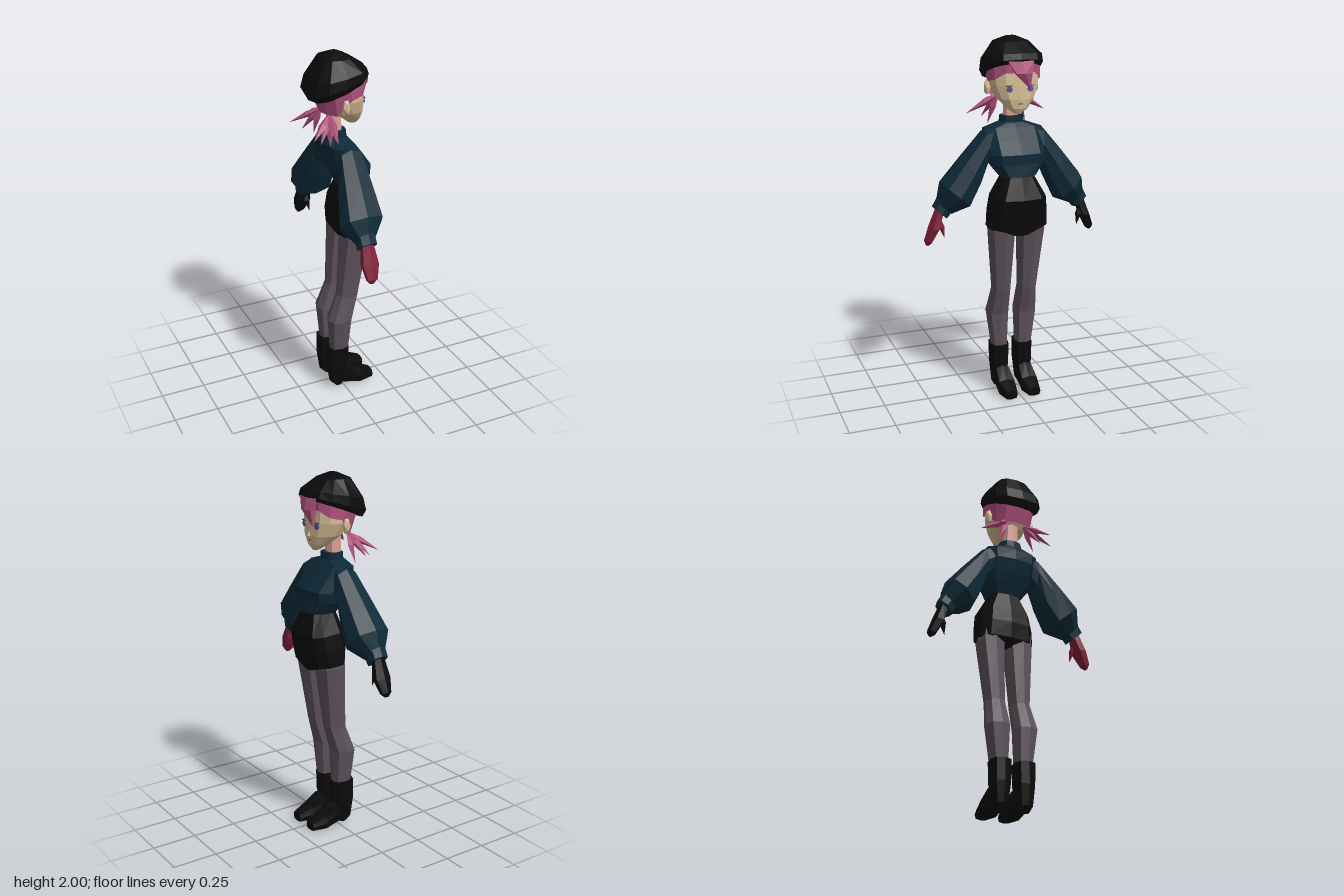
import * as THREE from 'three';

const mat = (name, color, side = THREE.FrontSide) => {
  const m = new THREE.MeshStandardMaterial({ color, side, flatShading: true });
  m.name = name;
  return m;
};

// Cross-section spanning from p to q, with half-width vector w; pow < 1 squares it off
function ring(p, q, w, n = 8, pow = 0.8) {
  const a = new THREE.Vector3(...p), b = new THREE.Vector3(...q), side = new THREE.Vector3(...w);
  const c = a.clone().add(b).multiplyScalar(0.5), u = b.clone().sub(c);
  const bend = (t) => Math.sign(t) * Math.pow(Math.abs(t) < 1e-6 ? 0 : Math.abs(t), pow);
  return Array.from({ length: n }, (_, i) => {
    const t = (i / n) * Math.PI * 2;
    return c.clone().addScaledVector(u, bend(Math.cos(t))).addScaledVector(side, bend(Math.sin(t)));
  });
}

// Skin over a list of cross-sections, with faces always turned outward
function loft(rings, capped = true) {
  const n = rings[0].length, tris = [];
  for (let r = 0; r < rings.length - 1; r++) {
    for (let i = 0; i < n; i++) {
      const j = (i + 1) % n, A = rings[r], B = rings[r + 1];
      tris.push([A[i], A[j], B[j]], [A[i], B[j], B[i]]);
    }
  }
  if (capped) {
    const F = rings[0], L = rings[rings.length - 1];
    for (let i = 1; i < n - 1; i++) tris.push([F[0], F[i + 1], F[i]], [L[0], L[i], L[i + 1]]);
  }
  const mid = rings[0][0], v = new THREE.Vector3();
  let volume = 0;
  for (const [a, b, c] of tris) {
    volume += v.copy(b).sub(mid).cross(c.clone().sub(mid)).dot(a.clone().sub(mid));
  }
  const g = new THREE.BufferGeometry().setFromPoints(
    tris.flatMap(([a, b, c]) => (volume < 0 ? [a, c, b] : [a, b, c])));
  g.computeVertexNormals();
  return g;
}

// Upright form from rows of [back x, back y, front x, front y, half width]
const bodyRings = (rows, n, pow, z = 0) =>
  rows.map(([bx, by, fx, fy, w]) => ring([bx, by, z], [fx, fy, z], [0, 0, w], n, pow));

// Four-sided pointed lock
function spike(base, tip, width) {
  const a = new THREE.Vector3(...base), b = new THREE.Vector3(...tip);
  const d = b.clone().sub(a).normalize();
  const u = new THREE.Vector3(0, 1, 0).cross(d).normalize(), v = d.clone().cross(u);
  return loft([[0, 0.012], [0.4, width], [1, 0.0005]].map(([t, r]) => {
    const c = a.clone().lerp(b, t);
    return ring(c.clone().addScaledVector(u, -r).toArray(), c.clone().addScaledVector(u, r).toArray(),
      v.clone().multiplyScalar(r * 0.7).toArray(), 4);
  }));
}

export function createModel() {
  const skin = mat('face skin', 0xd6be96), neckSkin = mat('neck skin', 0xd9a394);
  const pink = mat('pink hair', 0xb0507c, THREE.DoubleSide), black = mat('black cloth', 0x0b0b0b);
  const teal = mat('teal knit', 0x0d2a38), grey = mat('grey tights', 0x5c525a);
  const red = mat('red glove', 0x7e1f38), blue = mat('blue eyes', 0x5652a4);
  const brown = mat('mouth brown', 0x6b4a3c);

  const model = new THREE.Group();
  const add = (name, geometry, material) => {
    const m = new THREE.Mesh(geometry, material);
    m.name = name;
    model.add(m);
    return m;
  };

  // Head and neck
  add('head', loft(bodyRings([
    [0.06, 1.605, 0.105, 1.6, 0.018], [0.015, 1.64, 0.122, 1.63, 0.06],
    [-0.05, 1.68, 0.13, 1.68, 0.1], [-0.1, 1.75, 0.128, 1.75, 0.13],
    [-0.11, 1.82, 0.125, 1.82, 0.133], [-0.09, 1.89, 0.09, 1.89, 0.1]], 12, 0.8)), skin);
  add('neck', loft(bodyRings([
    [-0.06, 1.55, 0.018, 1.55, 0.045], [-0.06, 1.71, 0.018, 1.7, 0.042]], 8, 0.9)), neckSkin);
  const nose = add('nose', new THREE.ConeGeometry(0.012, 0.03, 4), skin);
  nose.position.set(0.132, 1.693, 0);
  add('mouth', new THREE.BoxGeometry(0.008, 0.005, 0.022), brown).position.set(0.125, 1.658, 0);

  // Hair shell, its lower edge stepping from forehead to nape
  const hairTop = bodyRings([
    [-0.13, 1.92, 0.11, 1.92, 0.12], [-0.15, 1.83, 0.143, 1.87, 0.146]], 12, 0.85);
  const hem = ring([-0.1, 1.75, 0], [0.138, 1.75, 0], [0, 0, 0.142], 12, 0.85);
  hem.forEach((p) => {
    const c = (p.x - 0.019) / 0.119;
    p.y = c > 0.8 ? 1.82 : c > 0.3 ? 1.785 : c > -0.2 ? 1.77 : 1.685;
    if (c < -0.2) p.z *= 0.85;
  });
  add('hair', loft([...hairTop, hem], false), pink);
  add('fringe', loft([
    ring([0.1, 1.89, 0], [0.15, 1.88, 0], [0, 0, 0.08], 6),
    ring([0.11, 1.82, -0.012], [0.172, 1.82, -0.012], [0, 0, 0.05], 6),
    ring([0.135, 1.74, -0.048], [0.145, 1.74, -0.048], [0, 0, 0.004], 6)]), pink);

  // Soft cap, tilted down at the back
  add('beret', loft(bodyRings([
    [-0.165, 1.758, 0.142, 1.87, 0.148], [-0.185, 1.795, 0.15, 1.89, 0.16],
    [-0.165, 1.865, 0.138, 1.92, 0.156], [-0.1, 1.973, 0.06, 1.972, 0.095],
    [-0.04, 2, 0, 2, 0.025]], 12, 0.75)), black);

  // Sweater with collar, and shorts
  add('collar', loft(bodyRings([
    [-0.068, 1.53, 0.042, 1.53, 0.068], [-0.066, 1.58, 0.04, 1.58, 0.064]], 10, 0.85)), teal);
  add('sweater', loft(bodyRings([
    [-0.065, 1.548, 0.04, 1.545, 0.068], [-0.088, 1.51, 0.06, 1.522, 0.16],
    [-0.09, 1.45, 0.11, 1.46, 0.16], [-0.065, 1.38, 0.16, 1.39, 0.158],
    [-0.045, 1.335, 0.158, 1.335, 0.15], [-0.01, 1.265, 0.167, 1.27, 0.097]], 10, 0.7)), teal);
  add('shorts', loft(bodyRings([
    [0, 1.28, 0.15, 1.28, 0.08], [-0.03, 1.17, 0.2, 1.15, 0.148],
    [-0.04, 1.08, 0.185, 1.07, 0.16], [-0.03, 0.99, 0.16, 0.98, 0.166],
    [0, 0.95, 0.155, 0.945, 0.05]], 10, 0.65)), black);

  // Paired parts: s = 1 is the +z side
  for (const s of [1, -1]) {
    const word = s > 0 ? 'Near' : 'Far';

    const ear = add('ear' + word, new THREE.IcosahedronGeometry(1, 0), skin);
    ear.scale.set(0.022, 0.046, 0.022);
    ear.position.set(-0.012, 1.735, s * 0.135);

    const eye = add('eye' + word, new THREE.CylinderGeometry(0.016, 0.016, 0.008, 8), blue);
    eye.rotation.set(0, -s * 0.17, Math.PI / 2, 'YXZ');
    eye.position.set(0.122, 1.735, s * 0.058);
    const lash = add('lash' + word, new THREE.BoxGeometry(0.008, 0.005, 0.036), brown);
    lash.rotation.y = -s * 0.17;
    lash.position.set(0.123, 1.753, s * 0.06);

    // Spiky bunch of hair
    [[-0.205, 1.59, 0.16, 0.024], [-0.1, 1.585, 0.226, 0.026],
      [-0.09, 1.525, 0.11, 0.024], [-0.15, 1.555, 0.125, 0.024]].forEach(([x, y, z, w]) =>
      add('bunchLock' + word, spike([-0.075, 1.68, s * 0.06], [x, y, s * z], w), pink));

    // Puffed sleeve and cuff: [outer z, outer y, inner z, inner y, centre x, half width]
    const armRings = (rows, n = 8) => rows.map(([oz, oy, iz, iy, x, w]) =>
      ring([x, oy, s * oz], [x, iy, s * iz], [w, 0, 0], n));
    add('sleeve' + word, loft(armRings([
      [0.12, 1.525, 0.12, 1.36, 0, 0.07], [0.165, 1.515, 0.155, 1.32, 0.005, 0.075],
      [0.29, 1.37, 0.19, 1.215, -0.005, 0.1], [0.4, 1.235, 0.248, 1.1, -0.015, 0.122],
      [0.425, 1.13, 0.345, 1.06, -0.02, 0.055]])), teal);
    add('cuff' + word, loft(armRings([
      [0.422, 1.15, 0.335, 1.075, -0.022, 0.055], [0.447, 1.105, 0.37, 1.035, -0.022, 0.055]])), teal);

    // Gloved hand, one colour on each side
    const glove = s > 0 ? red : black;
    add('glove' + word, loft(armRings([
      [0.43, 1.1, 0.385, 1.06, -0.022, 0.034], [0.473, 0.99, 0.408, 0.985, -0.022, 0.05],
      [0.498, 0.92, 0.452, 0.905, -0.025, 0.03], [0.486, 0.893, 0.472, 0.89, -0.028, 0.012]], 6)), glove);
    add('thumb' + word, spike([-0.01, 1.03, s * 0.41], [0, 0.93, s * 0.388], 0.022), glove);

    // Leg: [y, back x, front x, inner z, outer z]
    const legRings = (rows) => rows.map(([y, b, f, i, o]) =>
      ring([b, y, s * (i + o) / 2], [f, y, s * (i + o) / 2], [0, 0, (o - i) / 2], 8, 0.75));
    add('leg' + word, loft(legRings([
      [1.03, -0.02, 0.145, 0.008, 0.155], [0.97, -0.02, 0.138, 0.008, 0.162],
      [0.61, -0.04, 0.085, 0.025, 0.126], [0.46, -0.094, 0.042, 0.018, 0.146],
      [0.25, -0.08, 0.03, 0.028, 0.115]])), grey);
    add('bootShaft' + word, loft(legRings([
      [0.27, -0.1, 0.035, 0.015, 0.125], [0.15, -0.1, 0.032, 0.018, 0.122],
      [0.04, -0.082, 0, 0.03, 0.112], [0.012, -0.055, -0.01, 0.045, 0.1]])), black);
    // Foot: [x, bottom y, top y, half width]
    add('bootFoot' + word, loft([
      [-0.06, 0.025, 0.13, 0.035], [0.03, 0.008, 0.148, 0.045],
      [0.1, 0, 0.09, 0.055], [0.182, 0.005, 0.056, 0.036]].map(([x, lo, hi, w]) =>
      ring([x, lo, s * 0.068], [x, hi, s * 0.068], [0, 0, w], 8, 0.6))), black);
  }
  return model;
}
